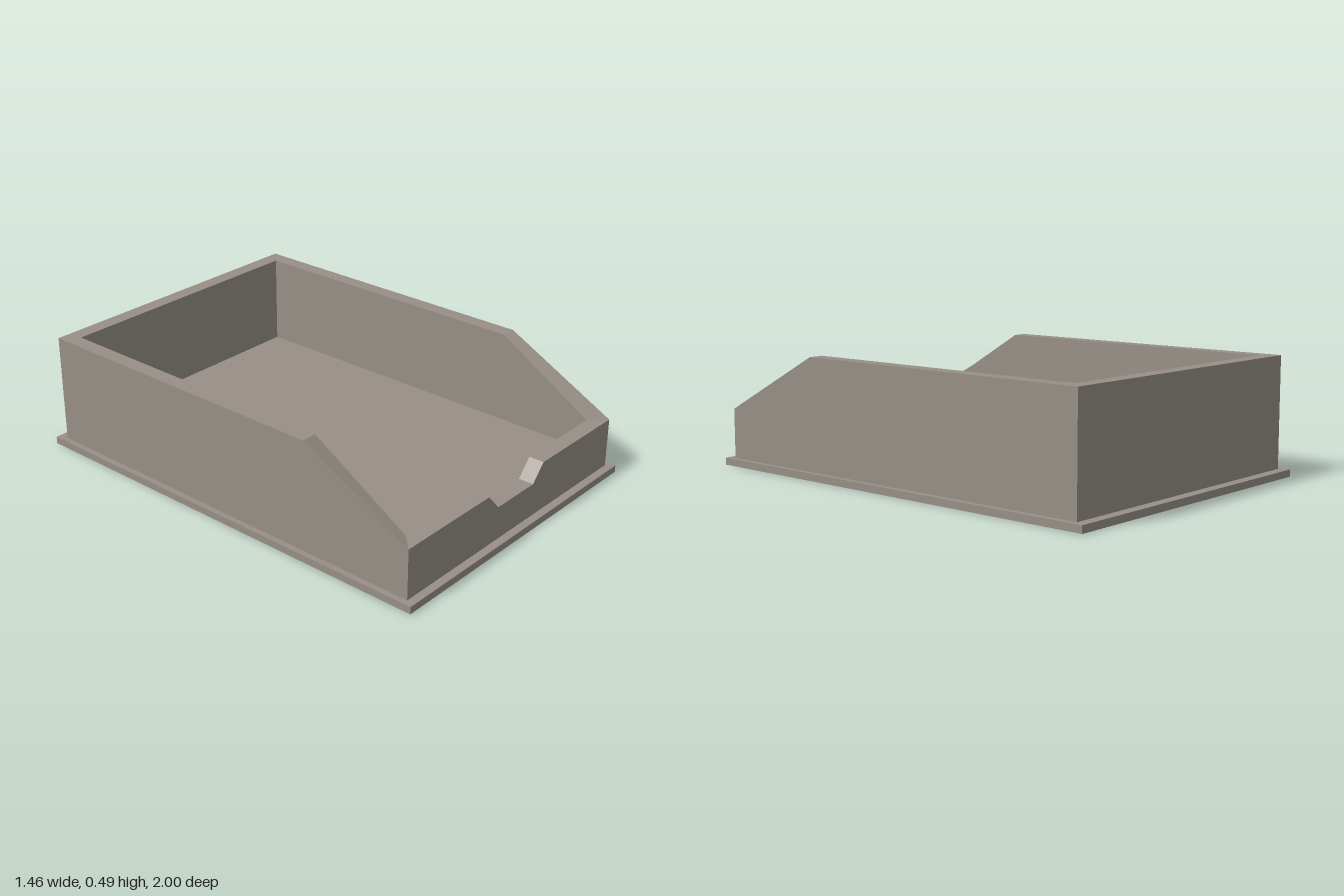
import * as THREE from 'three';

const BASE_H = 0.03, FLOOR_H = 0.106, LIP_H = 0.24, RIM_H = 0.494, NOTCH_H = 0.17;
const OUT_X = 0.651, FRONT_Z = 0.927, BACK_Z = -0.919, WALL = 0.065;
const IN_X = OUT_X - WALL, IN_FRONT = FRONT_Z - WALL, IN_BACK = BACK_Z + WALL;

// Wall ring: stations around the rim [x, z, top height], joined by quads
function wallGeometry() {
  const half = [
    [0.114, FRONT_Z, NOTCH_H],
    [0.177, FRONT_Z, LIP_H],
    [OUT_X, FRONT_Z, LIP_H],
    [OUT_X, 0.438, RIM_H],
    [OUT_X, BACK_Z, RIM_H],
  ];
  const ring = [...half, ...half.map(([x, z, y]) => [-x, z, y]).reverse()];
  const clamp = THREE.MathUtils.clamp;
  const outer = ([x, z], y) => new THREE.Vector3(x, y, z);
  const inner = ([x, z], y) => new THREE.Vector3(clamp(x, -IN_X, IN_X), y, clamp(z, IN_BACK, IN_FRONT));

  // Each quad has one normal, so the slightly twisted slopes shade evenly
  const pos = [], nor = [];
  const quad = (a, b, c, d) => {
    const n = c.clone().sub(a).cross(d.clone().sub(b)).normalize();
    for (const p of [a, b, c, a, c, d]) {
      pos.push(...p);
      nor.push(...n);
    }
  };
  ring.forEach((a, i) => {
    const b = ring[(i + 1) % ring.length];
    quad(outer(a, BASE_H), outer(b, BASE_H), outer(b, b[2]), outer(a, a[2])); // outside
    quad(outer(a, a[2]), outer(b, b[2]), inner(b, b[2]), inner(a, a[2])); // rim
    quad(inner(a, a[2]), inner(b, b[2]), inner(b, FLOOR_H), inner(a, FLOOR_H)); // inside
  });
  const geo = new THREE.BufferGeometry();
  geo.setAttribute('position', new THREE.Float32BufferAttribute(pos, 3));
  geo.setAttribute('normal', new THREE.Float32BufferAttribute(nor, 3));
  return geo;
}

export function createModel() {
  const group = new THREE.Group();
  group.name = 'tray';
  const material = new THREE.MeshStandardMaterial({ color: 0x989087 });
  const add = (name, geo, y = 0, z = 0) => {
    const mesh = new THREE.Mesh(geo, material);
    mesh.name = name;
    mesh.position.set(0, y, z);
    group.add(mesh);
  };

  // Thin base plate that sticks out past the walls
  add('basePlate', new THREE.BoxGeometry(1.352, BASE_H, 1.923), BASE_H / 2);
  // Raised floor inside the walls
  add('floor', new THREE.BoxGeometry(2 * IN_X, FLOOR_H - BASE_H, IN_FRONT - IN_BACK),
    (FLOOR_H + BASE_H) / 2, (IN_FRONT + IN_BACK) / 2);
  // Walls with sloped sides and a notched front lip
  add('walls', wallGeometry());

  // The whole tray sits slightly turned
  group.rotation.y = 0.06;
  return group;
}
